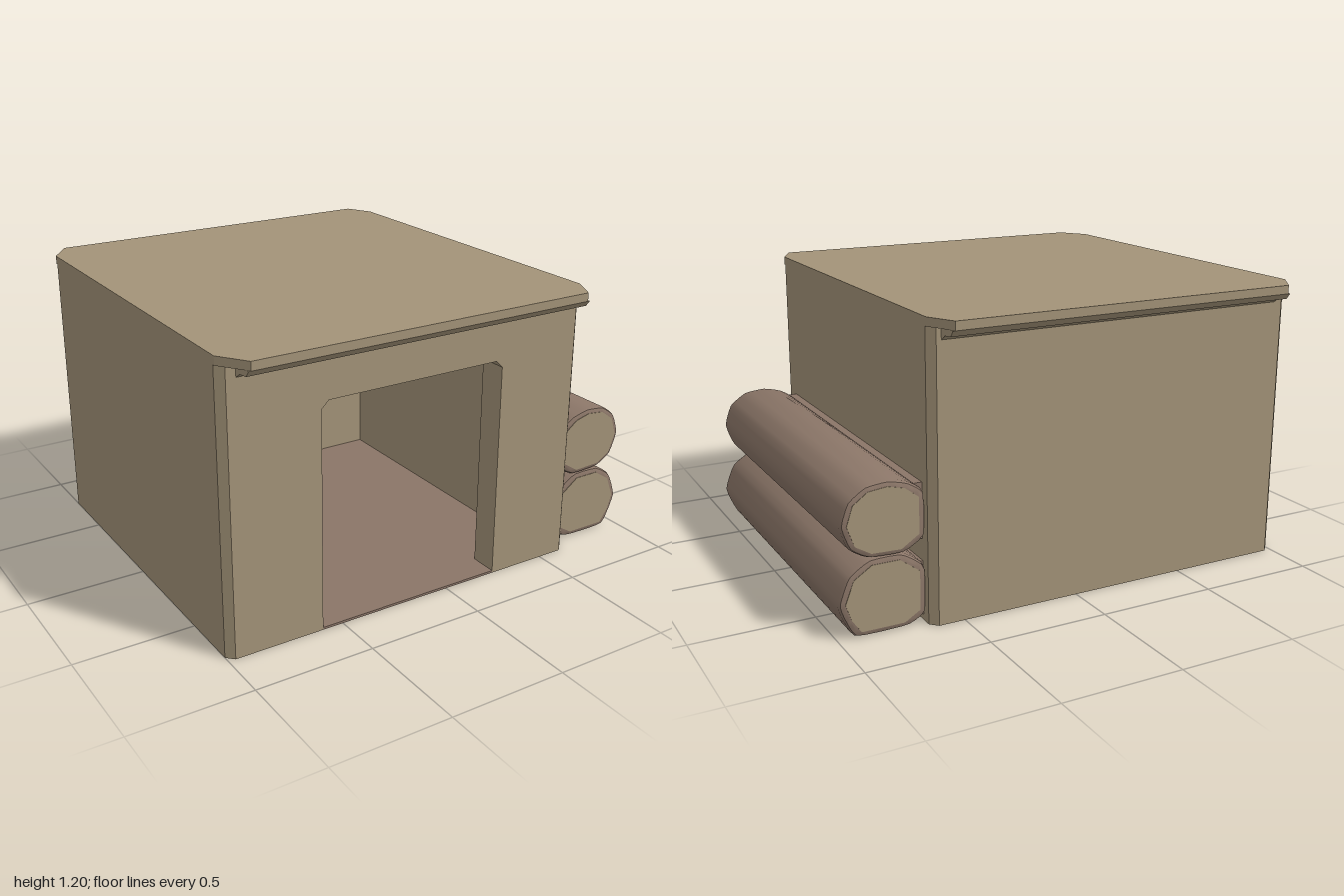
import * as THREE from 'three';
import { toCreasedNormals } from 'three/addons/utils/BufferGeometryUtils.js';

const tan = new THREE.MeshStandardMaterial({ color: 0xa39378 });
const brown = new THREE.MeshStandardMaterial({ color: 0x8a7567 });

const shapeOf = (pts) => new THREE.Shape(pts.map(([x, y]) => new THREE.Vector2(x, y)));
const extrude = (pts, depth) =>
  new THREE.ExtrudeGeometry(shapeOf(pts), { depth, bevelEnabled: false });

// Floor plan given as [x, z], raised from y0 to y1
function plan(pts, y0, y1) {
  return extrude(pts.map(([x, z]) => [x, -z]), y1 - y0).rotateX(-Math.PI / 2).translate(0, y0, 0);
}

export function createModel() {
  const group = new THREE.Group();
  const add = (name, geometry, material) => {
    const mesh = new THREE.Mesh(geometry, material);
    mesh.name = name;
    group.add(mesh);
  };

  // Walls: one C-shaped plan with bevelled outer corners, open at the door
  add('walls', plan([
    [0.24, 0.79], [0.61, 0.79], [0.64, 0.76], [0.64, -0.76], [0.61, -0.79],
    [-0.97, -0.79], [-1, -0.76], [-1, 0.76], [-0.97, 0.79], [-0.59, 0.79],
    [-0.59, 0.67], [-0.88, 0.67], [-0.88, -0.67], [0.52, -0.67], [0.52, 0.67], [0.24, 0.67],
  ], 0, 1.17), tan);

  // Lintel with chamfered door corners
  add('lintel', extrude([
    [-0.59, 0.92], [-0.56, 0.95], [0.21, 0.95], [0.24, 0.92], [0.24, 1.17], [-0.59, 1.17],
  ], 0.12).translate(0, 0, 0.67), tan);

  // Ceiling, floor and threshold
  const box = (w, h, d, x, y, z) => new THREE.BoxGeometry(w, h, d).translate(x, y, z);
  add('ceiling', box(1.4, 0.08, 1.34, -0.18, 1.12, 0), tan);
  add('floor', box(1.4, 0.01, 1.34, -0.18, 0.005, 0), brown);
  add('threshold', box(0.83, 0.01, 0.12, -0.175, 0.005, 0.73), brown);

  // Flat roof overhanging front and back with clipped corners
  add('roof', plan([
    [-1, 0.77], [-0.92, 0.885], [0.58, 0.885], [0.64, 0.77],
    [0.64, -0.77], [0.58, -0.885], [-0.92, -0.885], [-1, -0.77],
  ], 1.16, 1.195), tan);

  // Eave mouldings below the overhang
  const eave = [[0.77, 1.09], [0.79, 1.11], [0.82, 1.13], [0.865, 1.135], [0.885, 1.16], [0.77, 1.16]];
  add('frontEave', extrude(eave, 1.52).rotateY(-Math.PI / 2).translate(0.59, 0, 0), tan);
  add('backEave', extrude(eave, 1.52).rotateY(Math.PI / 2).translate(-0.93, 0, 0), tan);

  // Stacked logs, pressed against the side wall
  const logs = {
    upperLog: [[0.645, 0.36], [0.73, 0.305], [0.87, 0.31], [0.945, 0.355], [0.98, 0.45], [0.95, 0.54],
      [0.88, 0.59], [0.79, 0.6], [0.71, 0.58], [0.645, 0.53]],
    lowerLog: [[0.645, 0.05], [0.72, 0.005], [0.925, 0.005], [0.97, 0.07], [0.995, 0.145], [0.955, 0.25],
      [0.87, 0.305], [0.74, 0.305], [0.645, 0.235]],
  };
  const inset = 0.02;
  for (const [name, pts] of Object.entries(logs)) {
    const curve = new THREE.CatmullRomCurve3(
      pts.map(([x, y]) => new THREE.Vector3(x, y, 0)), true, 'catmullrom', 0.25);
    const outline = curve.getPoints(30).slice(0, -1).map((p) => [p.x, p.y]);
    const geometry = new THREE.ExtrudeGeometry(shapeOf(outline), {
      depth: 1.47 - 2 * inset, bevelThickness: inset, bevelSize: inset, bevelOffset: -inset, bevelSegments: 2,
    }).translate(0, 0, -0.75 + inset);
    add(name, toCreasedNormals(geometry, 0.6), brown);
  }

  // Flat end cuts in the wall colour
  for (const [name, pts] of Object.entries(logs)) {
    const cy = name === 'upperLog' ? 0.45 : 0.155;
    const face = pts.map(([x, y]) => [0.82 + (x - 0.82) * 0.86, cy + (y - cy) * 0.86]);
    add(name + 'Ends', extrude(face, 1.474).translate(0, 0, -0.752), tan);
  }

  // Narrow webs joining the logs to the wall
  for (const [i, y] of [0.05, 0.22, 0.36, 0.535].entries()) {
    add('logWeb' + i, box(0.05, 0.05, 1.4, 0.65, y, -0.015), brown);
  }
  return group;
}
